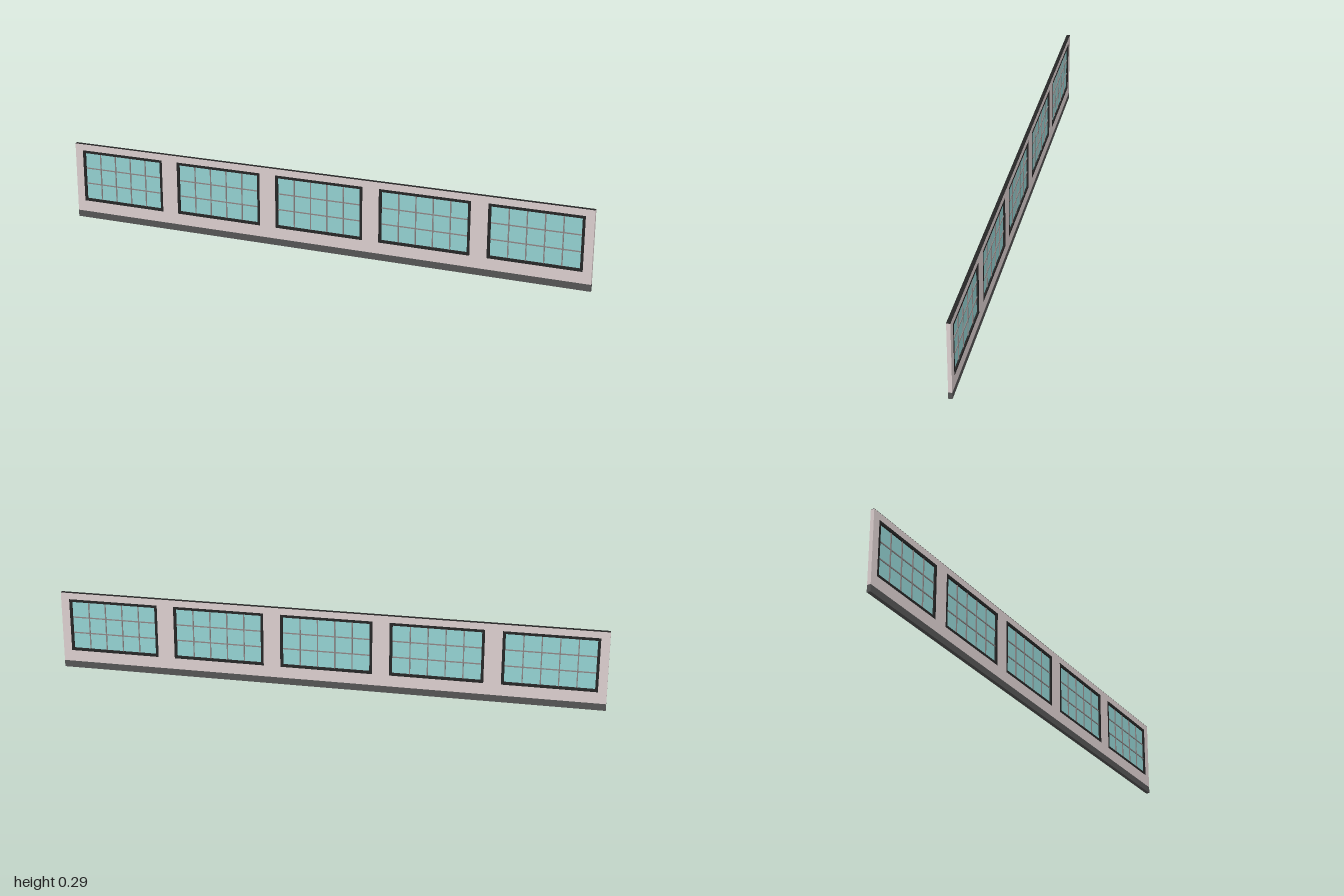
import * as THREE from 'three';

const paint = (color) => new THREE.MeshStandardMaterial({ color });
const wallPaint = paint(0xdccfcf);
const basePaint = paint(0x555555);
const framePaint = paint(0x262626);
const barPaint = paint(0x8c8686);
const glassPaint = paint(0x94d2d2);

const LENGTH = 2, HEIGHT = 0.292, DEPTH = 0.0132, BASE = 0.025;
const WIN_W = 0.338, WIN_H = 0.2, WIN_Y = 0.167, FRAME = 0.01;
const COLUMNS = 5, ROWS = 3;
const windowCentres = [-0.8, -0.4, 0, 0.4, 0.8];

function box(name, w, h, d, x, y, material) {
  const mesh = new THREE.Mesh(new THREE.BoxGeometry(w, h, d), material);
  mesh.name = name;
  mesh.position.set(x, y, 0);
  return mesh;
}

// Adds a rectangle to a shape or hole path
function rect(path, x, y, w, h) {
  path.moveTo(x - w / 2, y - h / 2);
  path.lineTo(x + w / 2, y - h / 2);
  path.lineTo(x + w / 2, y + h / 2);
  path.lineTo(x - w / 2, y + h / 2);
  path.closePath();
  return path;
}

function slab(name, shape, depth, material) {
  const geometry = new THREE.ExtrudeGeometry(shape, { depth, bevelEnabled: false });
  geometry.translate(0, 0, -depth / 2);
  const mesh = new THREE.Mesh(geometry, material);
  mesh.name = name;
  return mesh;
}

// One window: surround, pane and glazing bars, centred on its own origin
function createWindow() {
  const group = new THREE.Group();
  group.name = 'window';
  const w = WIN_W - 2 * FRAME, h = WIN_H - 2 * FRAME;
  const outline = rect(new THREE.Shape(), 0, 0, WIN_W, WIN_H);
  outline.holes.push(rect(new THREE.Path(), 0, 0, w, h));
  group.add(slab('windowFrame', outline, DEPTH, framePaint));
  group.add(box('glassPane', w, h, 0.002, 0, 0, glassPaint));
  for (let i = 1; i < COLUMNS; i++)
    group.add(box('verticalBar', 0.004, h, 0.008, (i / COLUMNS - 0.5) * w, 0, barPaint));
  for (let i = 1; i < ROWS; i++)
    group.add(box('horizontalBar', w, 0.004, 0.0076, 0, (i / ROWS - 0.5) * h, barPaint));
  return group;
}

export function createModel() {
  const model = new THREE.Group();
  model.name = 'windowedWall';

  // Wall panel with one opening per window
  const top = HEIGHT - 0.001;
  const panel = rect(new THREE.Shape(), 0, (BASE + top) / 2, LENGTH, top - BASE);
  for (const x of windowCentres)
    panel.holes.push(rect(new THREE.Path(), x, WIN_Y, WIN_W, WIN_H));
  model.add(slab('wallPanel', panel, DEPTH, wallPaint));

  // Dark plinth and thin top edge
  model.add(box('plinth', LENGTH, BASE, DEPTH + 0.0006, 0, BASE / 2, basePaint));
  model.add(box('topEdge', LENGTH, 0.001, DEPTH, 0, HEIGHT - 0.0005, framePaint));

  for (const x of windowCentres) {
    const unit = createWindow();
    unit.position.set(x, WIN_Y, 0);
    model.add(unit);
  }
  return model;
}
